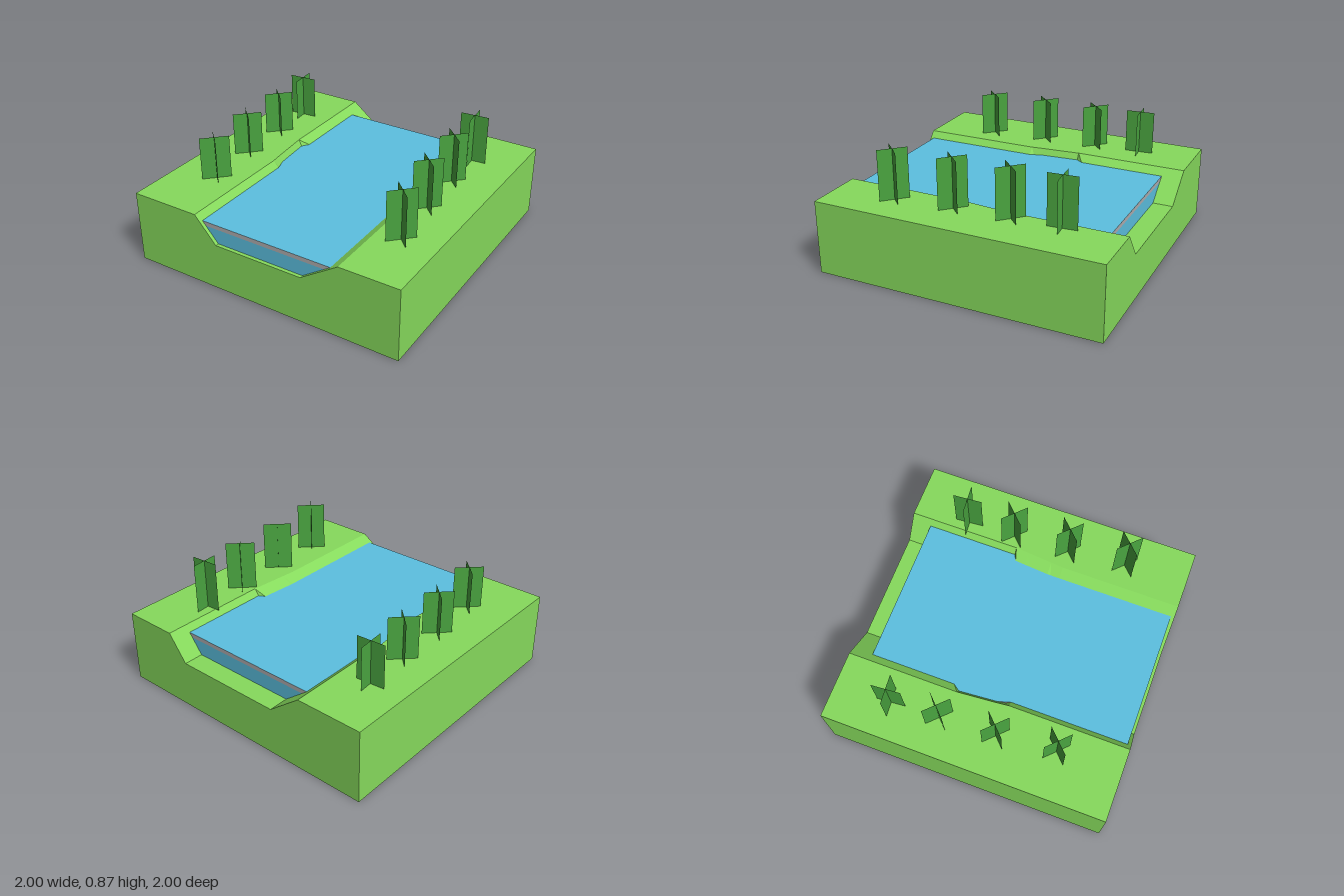
import * as THREE from 'three';

const TOP = 0.515, BED = 0.335;

// Channel stations from back to front: z, left rim, left bed, right bed, right rim (by x, -x first)
const stations = [
  [-1, -0.53, -0.30, 0.475, 0.61],
  [-0.4, -0.53, -0.30, 0.475, 0.61],
  [-0.21, -0.53, -0.44, 0.475, 0.61],
  [-0.12, -0.522, -0.435, 0.30, 0.603],
  [0.06, -0.507, -0.42, 0.29, 0.588],
  [0.15, -0.497, -0.34, 0.31, 0.58],
  [1, -0.497, -0.34, 0.31, 0.58],
];

// Closed cross-sections joined along z, capped at both ends
function loft(sections) {
  const pos = [];
  const tri = (...pts) => pts.forEach((p) => pos.push(...p));
  const n = sections[0].length;
  for (let s = 0; s < sections.length - 1; s++) {
    for (let i = 0; i < n; i++) {
      const j = (i + 1) % n;
      const a = sections[s][i], b = sections[s][j];
      const c = sections[s + 1][i], d = sections[s + 1][j];
      tri(a, c, b);
      tri(b, c, d);
    }
  }
  const cap = (sec, front) => {
    const contour = sec.map((p) => new THREE.Vector2(p[0], p[1]));
    for (const [a, b, c] of THREE.ShapeUtils.triangulateShape(contour, [])) {
      const u = contour[b].clone().sub(contour[a]);
      const v = contour[c].clone().sub(contour[a]);
      const ccw = u.cross(v) > 0;
      if (ccw === front) tri(sec[a], sec[b], sec[c]);
      else tri(sec[a], sec[c], sec[b]);
    }
  };
  cap(sections[0], false);
  cap(sections[sections.length - 1], true);
  const geo = new THREE.BufferGeometry();
  geo.setAttribute('position', new THREE.Float32BufferAttribute(pos, 3));
  geo.computeVertexNormals();
  return geo;
}

function createTree(height, material) {
  const tree = new THREE.Group();
  for (const angle of [0, Math.PI / 2]) {
    const panel = new THREE.Mesh(new THREE.PlaneGeometry(0.2, height), material);
    panel.name = 'treePanel';
    panel.position.y = height / 2;
    panel.rotation.y = angle;
    tree.add(panel);
  }
  return tree;
}

export function createModel() {
  const model = new THREE.Group();
  const grass = new THREE.MeshStandardMaterial({ color: 0x86da5c, flatShading: true });
  const blue = new THREE.MeshStandardMaterial({ color: 0x5cc0e0, flatShading: true });
  const grey = new THREE.MeshStandardMaterial({ color: 0xb0aeb0, flatShading: true });
  const leaf = new THREE.MeshStandardMaterial({ color: 0x4aa540, side: THREE.DoubleSide });

  // Ground block with the river channel cut into it (sections run counter-clockwise)
  const ground = new THREE.Mesh(loft(stations.map(([z, rimL, bedL, bedR, rimR]) => [
    [-1, 0, z], [1, 0, z], [1, TOP, z], [rimR, TOP, z],
    [bedR, BED, z], [bedL, BED, z], [rimL, TOP, z], [-1, TOP, z],
  ]).map((sec) => sec.slice().reverse())), grass);
  ground.name = 'ground';
  model.add(ground);

  // Water outline where its surface meets the banks; the sides sink into the ground
  const level = 0.47, t = (TOP - level) / (TOP - BED);
  const left = [], right = [];
  for (const [z, rimL, bedL, bedR, rimR] of stations) {
    const zc = THREE.MathUtils.clamp(z, -0.86, 0.975);
    left.push(new THREE.Vector2(rimL + (bedL - rimL) * t, -zc));
    right.push(new THREE.Vector2(rimR + (bedR - rimR) * t, -zc));
  }
  const outline = new THREE.Shape([...left, ...right.reverse()]);
  const layer = (name, y0, y1, materials) => {
    const geo = new THREE.ExtrudeGeometry(outline, { depth: y1 - y0, bevelEnabled: false });
    geo.rotateX(-Math.PI / 2);
    const mesh = new THREE.Mesh(geo, materials);
    mesh.name = name;
    mesh.position.y = y0;
    model.add(mesh);
  };
  layer('waterBody', BED - 0.02, 0.44, blue);
  layer('waterSurface', 0.44, level, [blue, grey]);

  // Rows of crossed-panel trees on both banks: z, x on the +x bank, x on the -x bank, turn
  const rows = [
    [0.55, 0.75, -0.68, Math.PI / 4],
    [0.14, 0.71, -0.72, Math.PI / 4],
    [-0.255, 0.69, -0.735, Math.PI / 4],
    [-0.595, 0.68, -0.75, 0.08],
  ];
  rows.forEach(([z, xl, xr, turn]) => {
    for (const [x, top, name] of [[xl, 0.867, 'leftTree'], [xr, 0.822, 'rightTree']]) {
      const tree = createTree(top - TOP, leaf);
      tree.name = name;
      tree.position.set(x, TOP, z);
      tree.rotation.y = turn;
      model.add(tree);
    }
  });
  return model;
}
